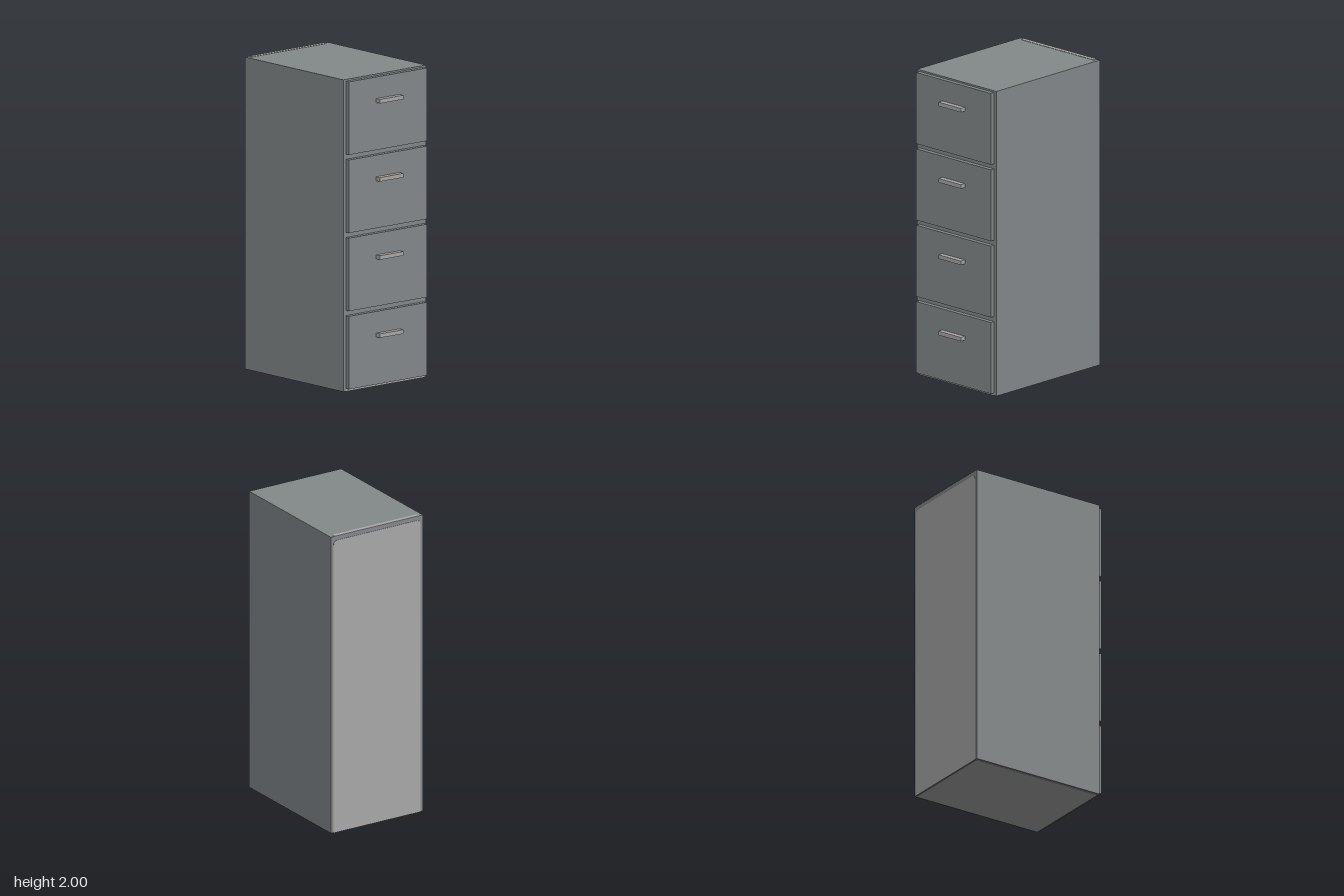
import * as THREE from 'three';

const paint = new THREE.MeshStandardMaterial({ color: 0x84898b });
paint.name = 'grey paint';
const steel = new THREE.MeshStandardMaterial({ color: 0xa9a9a9 });
steel.name = 'light steel';

const PLATE = 0.002;

// Box given by its minimum and maximum corners
function box(name, material, [x0, y0, z0], [x1, y1, z1]) {
  const mesh = new THREE.Mesh(new THREE.BoxGeometry(x1 - x0, y1 - y0, z1 - z0), material);
  mesh.position.set((x0 + x1) / 2, (y0 + y1) / 2, (z0 + z1) / 2);
  mesh.name = name;
  return mesh;
}

// Thin plate standing on its lower edge, with two rounded upper corners
function roundedPlate(name, halfWidth, height, radius) {
  const s = new THREE.Shape();
  s.moveTo(-halfWidth, 0);
  s.lineTo(halfWidth, 0);
  s.lineTo(halfWidth, height - radius);
  s.quadraticCurveTo(halfWidth, height, halfWidth - radius, height);
  s.lineTo(-halfWidth + radius, height);
  s.quadraticCurveTo(-halfWidth, height, -halfWidth, height - radius);
  const geometry = new THREE.ExtrudeGeometry(s, { depth: PLATE, bevelEnabled: false, curveSegments: 5 });
  const mesh = new THREE.Mesh(geometry, steel);
  mesh.name = name;
  return mesh;
}

export function createModel() {
  const cabinet = new THREE.Group();
  cabinet.name = 'filingCabinet';

  // Main case
  cabinet.add(box('case', paint, [-0.345, PLATE, -0.5 + PLATE], [0.345, 2 - PLATE, 0.435]));

  // Steel panels on the back, underside and rear of the top
  const back = roundedPlate('backPanel', 0.325, 1.97, 0.03);
  back.position.z = -0.5;
  const topStrip = roundedPlate('topRearStrip', 0.32, 0.03, 0.02);
  topStrip.rotation.x = Math.PI / 2;
  topStrip.position.set(0, 2, -0.5);
  cabinet.add(back, topStrip);
  cabinet.add(box('bottomPanel', steel, [-0.33, 0, -0.49], [0.33, PLATE, 0.425]));
  cabinet.add(box('frontKickStrip', steel, [-0.325, PLATE, 0.435], [0.325, 0.018, 0.437]));

  // Four equal drawers, each with a bar handle
  for (let i = 0; i < 4; i++) {
    const drawer = new THREE.Group();
    drawer.name = `drawer${i + 1}`;
    drawer.position.y = i * 0.5;
    drawer.add(box('drawerFront', paint, [-0.325, 0.02, 0.43], [0.325, 0.487, 0.465]));
    drawer.add(box('handle', steel, [-0.098, 0.323, 0.46], [0.098, 0.349, 0.5]));
    cabinet.add(drawer);
  }
  return cabinet;
}
